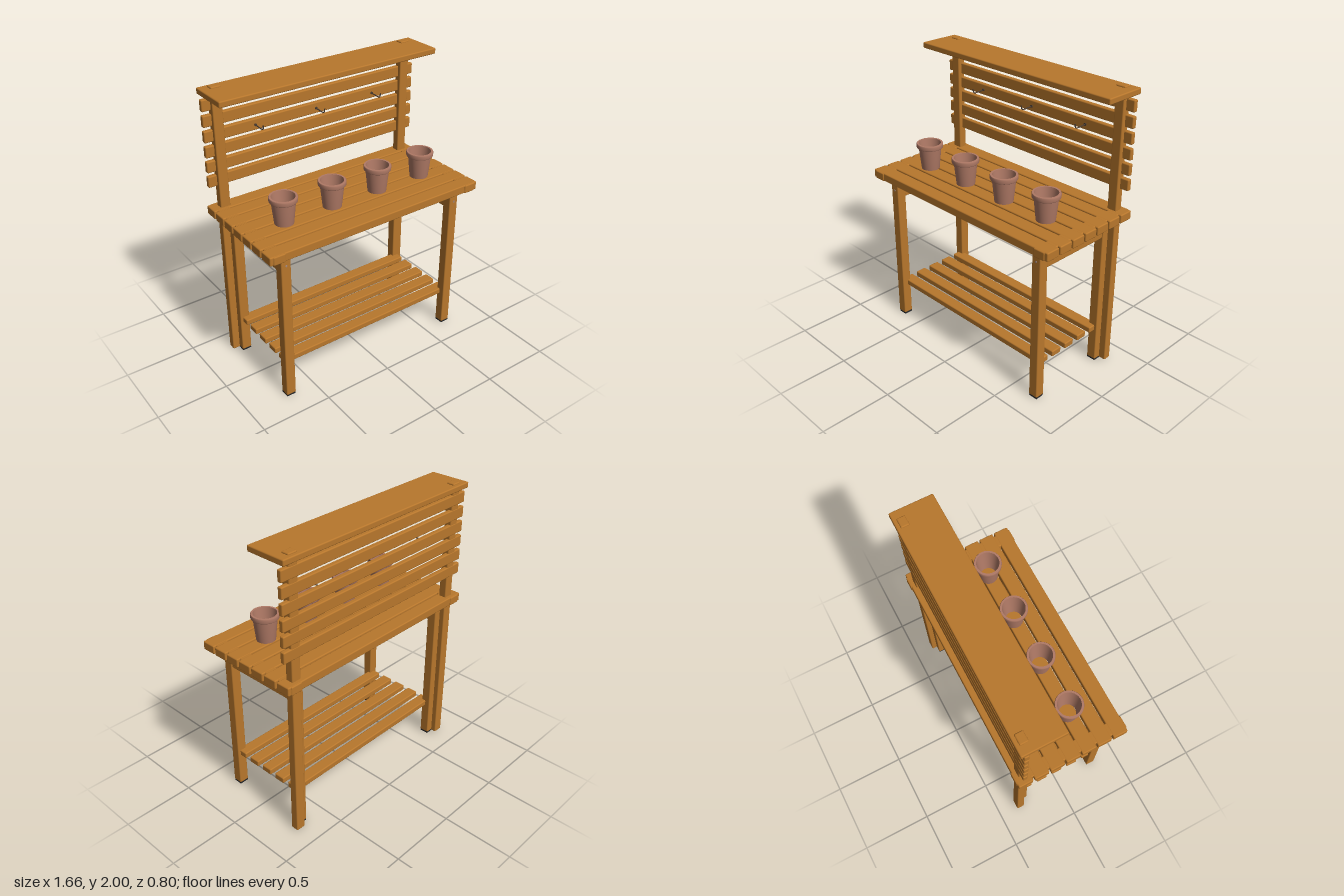
import * as THREE from 'three';
import { RoundedBoxGeometry } from 'three/addons/geometries/RoundedBoxGeometry.js';

const material = (name, color, side = THREE.FrontSide) => {
  const m = new THREE.MeshStandardMaterial({ color, side });
  m.name = name;
  return m;
};

export function createModel() {
  const bench = new THREE.Group();
  bench.name = 'pottingBench';
  const wood = material('wood', 0xb8772c);
  const terracotta = material('terracotta', 0xb07a66, THREE.DoubleSide);
  const iron = material('iron', 0x4a3c32);
  const rubber = material('rubber', 0x25272b);
  const steel = material('steel', 0xa58a80);

  const add = (name, geometry, mat, x = 0, y = 0, z = 0) => {
    const mesh = new THREE.Mesh(geometry, mat);
    mesh.name = name;
    mesh.position.set(x, y, z);
    bench.add(mesh);
    return mesh;
  };
  // Softened timber given by its limits on each axis
  const timber = (name, x0, x1, y0, y1, z0, z1, r = 0.008) =>
    add(name, new RoundedBoxGeometry(x1 - x0, y1 - y0, z1 - z0, 2, r), wood,
      (x0 + x1) / 2, (y0 + y1) / 2, (z0 + z1) / 2);
  // The same, mirrored to both sides
  const pair = (name, x0, x1, ...rest) => {
    timber(name, x0, x1, ...rest);
    timber(name, -x1, -x0, ...rest);
  };

  // Uprights, legs and side rails
  pair('upright', 0.7, 0.77, 0.005, 2, -0.365, -0.309);
  pair('frontLeg', 0.65, 0.72, 0.01, 1.105, 0.264, 0.332);
  pair('rearLeg', 0.65, 0.72, 0.01, 1.105, -0.328, -0.26);
  pair('sideRail', 0.66, 0.712, 0.975, 1.087, -0.265, 0.27);

  // Feet and leg screws
  for (const x of [-0.685, 0.685]) {
    for (const z of [-0.294, 0.298]) {
      add('foot', new THREE.BoxGeometry(0.064, 0.014, 0.062), rubber, x, 0.007, z);
    }
    const screw = add('screw', new THREE.CylinderGeometry(0.007, 0.007, 0.004, 12), steel, x, 1.035, 0.333);
    screw.rotation.x = Math.PI / 2;
  }

  // Worktop boards with end cleats filling the gaps
  for (let i = 0; i < 7; i++) {
    const z = 0.341 - i * 0.1137;
    timber('worktopBoard', -0.83, 0.83, 1.115, 1.175, z - 0.051, z + 0.051);
  }
  pair('worktopCleat', 0.72, 0.807, 1.114, 1.174, -0.398, 0.398);

  // Lower shelf slats
  for (let i = 0; i < 5; i++) {
    const z = 0.25 - i * 0.125;
    timber('lowerSlat', -0.7, 0.7, 0.247, 0.29, z - 0.041, z + 0.041);
  }

  // Back slats and top shelf
  for (let i = 0; i < 6; i++) {
    const y = 1.883 - i * 0.1037;
    timber('backSlat', -0.83, 0.83, y - 0.039, y + 0.039, -0.367, -0.334);
  }
  timber('topShelf', -0.83, 0.83, 1.949, 1.99, -0.39, -0.097);

  // Hooks on the third slat
  for (const x of [-0.468, 0, 0.466]) {
    const path = new THREE.CatmullRomCurve3([
      [0, 1.674, -0.336], [0, 1.671, -0.29], [0, 1.671, -0.25],
      [0, 1.677, -0.239], [0, 1.705, -0.232],
    ].map((p) => new THREE.Vector3(...p)));
    add('hook', new THREE.TubeGeometry(path, 20, 0.004, 8), iron, x);
    const collar = add('hookCollar', new THREE.CylinderGeometry(0.009, 0.009, 0.008, 12), iron, x, 1.674, -0.331);
    collar.rotation.x = Math.PI / 2;
  }

  // Flared pots: separate walls keep the rim edges crisp
  const walls = [
    [[0.056, 0], [0.063, 0], [0.079, 0.154]],
    [[0.079, 0.154], [0.088, 0.154]],
    [[0.088, 0.154], [0.092, 0.16], [0.093, 0.182], [0.09, 0.188]],
    [[0.09, 0.188], [0.077, 0.188]],
    [[0.077, 0.188], [0.056, 0]],
  ];
  for (const x of [-0.55, -0.183, 0.183, 0.55]) {
    const pot = new THREE.Group();
    pot.name = 'pot';
    pot.position.set(x, 1.188, 0.106);
    for (const wall of walls) {
      const part = new THREE.Mesh(
        new THREE.LatheGeometry(wall.map((p) => new THREE.Vector2(...p)), 40), terracotta);
      part.name = 'potWall';
      pot.add(part);
    }
    bench.add(pot);
  }
  return bench;
}
